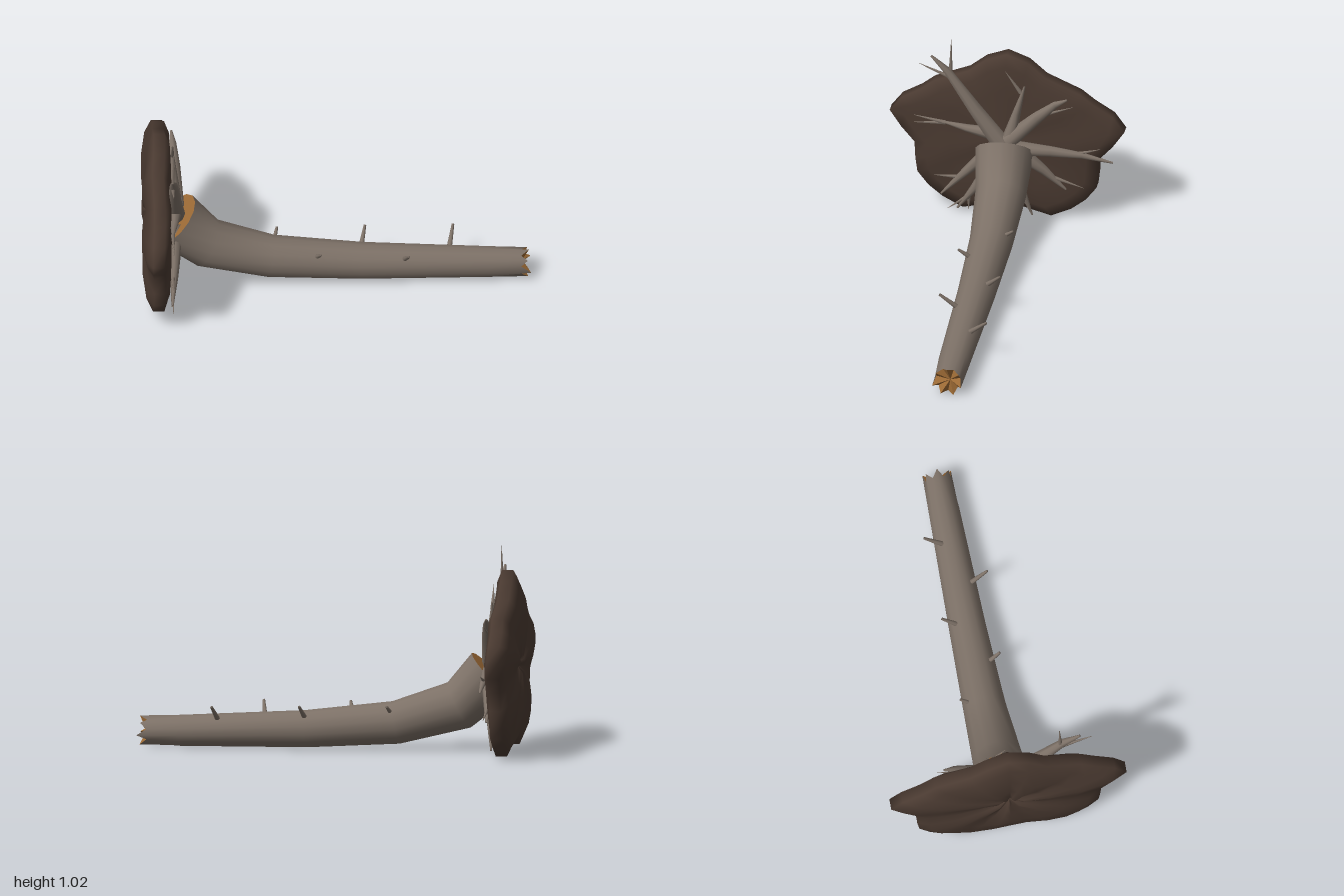
import * as THREE from 'three';

const V = (x, y, z) => new THREE.Vector3(x, y, z);

// Skins a list of closed loops; loops turn anticlockwise around the travel direction
function loft(rings) {
  const n = rings[0].length, pos = [], idx = [];
  rings.forEach(r => r.forEach(p => pos.push(p.x, p.y, p.z)));
  for (let i = 0; i < rings.length - 1; i++) {
    for (let j = 0; j < n; j++) {
      const a = i * n + j, b = i * n + (j + 1) % n;
      idx.push(a, b, a + n, b, b + n, a + n);
    }
  }
  const g = new THREE.BufferGeometry();
  g.setAttribute('position', new THREE.Float32BufferAttribute(pos, 3));
  g.setIndex(idx);
  g.computeVertexNormals();
  return g;
}

// Flat-faceted fan from a loop to a centre point
function fan(ring, centre, flip) {
  const pos = [];
  ring.forEach((p, j) => {
    const q = ring[(j + 1) % ring.length];
    (flip ? [q, p, centre] : [p, q, centre]).forEach(v => pos.push(v.x, v.y, v.z));
  });
  const g = new THREE.BufferGeometry();
  g.setAttribute('position', new THREE.Float32BufferAttribute(pos, 3));
  g.computeVertexNormals();
  return g;
}

// Circular loops of varying radius along a path
function tubeRings(points, radii, sides, ref) {
  return points.map((c, i) => {
    const t = points[Math.min(i + 1, points.length - 1)].clone()
      .sub(points[Math.max(i - 1, 0)]).normalize();
    const v = ref.clone().addScaledVector(t, -ref.dot(t)).normalize();
    const u = v.clone().cross(t);
    return Array.from({ length: sides }, (_, j) => {
      const a = j / sides * Math.PI * 2;
      return c.clone().addScaledVector(u, radii[i] * Math.cos(a))
        .addScaledVector(v, radii[i] * Math.sin(a));
    });
  });
}

export function createModel() {
  const model = new THREE.Group();
  model.name = 'fallenTree';
  const bark = new THREE.MeshStandardMaterial({ color: 0x7d7167 });
  const soil = new THREE.MeshStandardMaterial({ color: 0x4a3a31 });
  const wood = new THREE.MeshStandardMaterial({ color: 0x9c6a35 });
  const add = (name, geo, mat, parent = model) => {
    const m = new THREE.Mesh(geo, mat);
    m.name = name;
    parent.add(m);
    return m;
  };

  // Lobed soil plate: half outline as [z, y], mirrored
  const half = [[0, .935], [.11, .89], [.2, .812], [.38, .738], [.45, .68], [.55, .617], [.61, .535],
    [.55, .445], [.48, .365], [.475, .27], [.465, .19], [.41, .115], [.335, .055], [.23, .005], [.1, .035], [0, .06]];
  const outline = [...half, ...half.slice(1, -1).reverse().map(([z, y]) => [-z, y])];
  const cy = .45;
  // Plate section as [x, scale, ripple]
  const section = [[-.95, .001, 0], [-.975, .12, .012], [-.985, .35, .01], [-.985, .62, .01], [-.968, .87, .008],
    [-.938, 1, .004], [-.88, 1, .004], [-.857, .87, .006], [-.85, .6, .005], [-.845, .3, .003], [-.84, .001, 0]];
  add('soilPlate', loft(section.map(([x, s, w]) => outline.map(([z, y]) => {
    const a = Math.atan2(z, y - cy);
    return V(x + w * Math.sin(7 * a + 1), cy + (y - cy) * s, z * s);
  }))), soil);

  // Curved trunk with a splintered broken end
  const path = [V(-.825, .395, 0), V(-.657, .235, -.01), V(-.333, .14, -.022), V(.13, .1, -.032),
    V(.78, .08, -.041), V(.965, .077, -.043)];
  const rings = tubeRings(path, [.15, .13, .111, .096, .08, .076], 14, V(0, 0, 1));
  const end = rings[rings.length - 1];
  end.forEach((p, j) => {
    p.x = j % 2 ? .945 : .985 + .01 * Math.sin(j * 2);
    p.sub(path[5]);
    const k = j % 2 ? .84 : 1;
    p.y *= k;
    p.z *= k;
    p.add(path[5]);
  });
  add('trunk', loft(rings), bark);
  add('trunkBaseWood', fan(rings[0], path[0], true), wood);
  add('brokenEndWood', fan(end, V(.95, .08, -.055), false), wood);

  // Roots over the plate: main points and side shoots as [z, y]
  const roots = [
    { main: [[.02, .44], [.16, .63], [.3, .83], [.385, .907]], r: .05,
      shoots: [[[.285, .79], [.28, 1.02]], [[.28, .79], [.45, .86]]] },
    { main: [[-.02, .46], [-.06, .62], [-.1, .777]], r: .038, shoots: [[[-.08, .74], [0, .86]]] },
    { main: [[-.02, .46], [-.17, .61], [-.26, .69], [-.32, .72]], r: .045, shoots: [[[-.17, .61], [-.355, .685]]] },
    { main: [[-.06, .42], [-.24, .415], [-.4, .405], [-.56, .375]], r: .04, shoots: [[[-.36, .405], [-.495, .45]]] },
    { main: [[-.06, .41], [-.2, .3], [-.315, .19]], r: .045, shoots: [[[-.24, .26], [-.41, .21]]] },
    { main: [[.06, .49], [.2, .505], [.335, .525]], r: .036,
      shoots: [[[.31, .52], [.475, .55]], [[.31, .52], [.475, .507]]] },
    { main: [[.06, .4], [.2, .25], [.335, .095]], r: .042, shoots: [[[.24, .205], [.375, .205]]] },
    { main: [[.04, .35], [.16, .15], [.25, .02]], r: .04,
      shoots: [[[.19, .1], [.3, .013]], [[.19, .1], [.19, .02]]] },
    { main: [[-.03, .35], [-.09, .16], [-.14, .02]], r: .036, shoots: [[[-.1, .12], [-.08, .03]]] },
  ];
  const rootGroup = new THREE.Group();
  rootGroup.name = 'roots';
  model.add(rootGroup);
  for (const { main, r, shoots } of roots) {
    const last = main.length - 1;
    const pts = main.map(([z, y], i) => V(-.822 - .018 * i / last, y, z));
    const radii = main.map((_, i) => r * (1 - .88 * i / last));
    add('root', loft([...tubeRings(pts, radii, 8, V(1, 0, 0)), Array(8).fill(pts[last])]), bark, rootGroup);
    for (const [[z0, y0], [z1, y1]] of shoots) {
      const s = [V(-.838, y0, z0), V(-.835, y1, z1)];
      add('rootShoot', loft(tubeRings(s, [.012, .001], 6, V(1, 0, 0))), bark, rootGroup);
    }
  }

  // Broken twig stubs alternating along the trunk: [x, base y, base z, tip y, tip z]
  const twigs = [[-.31, .18, -.07, .235, -.142], [-.09, .175, .035, .23, .1], [.14, .16, -.08, .23, -.16],
    [.36, .145, .02, .225, .112], [.59, .145, -.08, .222, -.175]];
  for (const [x, y0, z0, y1, z1] of twigs) {
    const s = [V(x - .012, y0, z0), V(x + .008, y1, z1)];
    add('twig', loft([...tubeRings(s, [.014, .007], 7, V(1, 0, 0)), Array(7).fill(s[1])]), bark);
  }
  return model;
}
